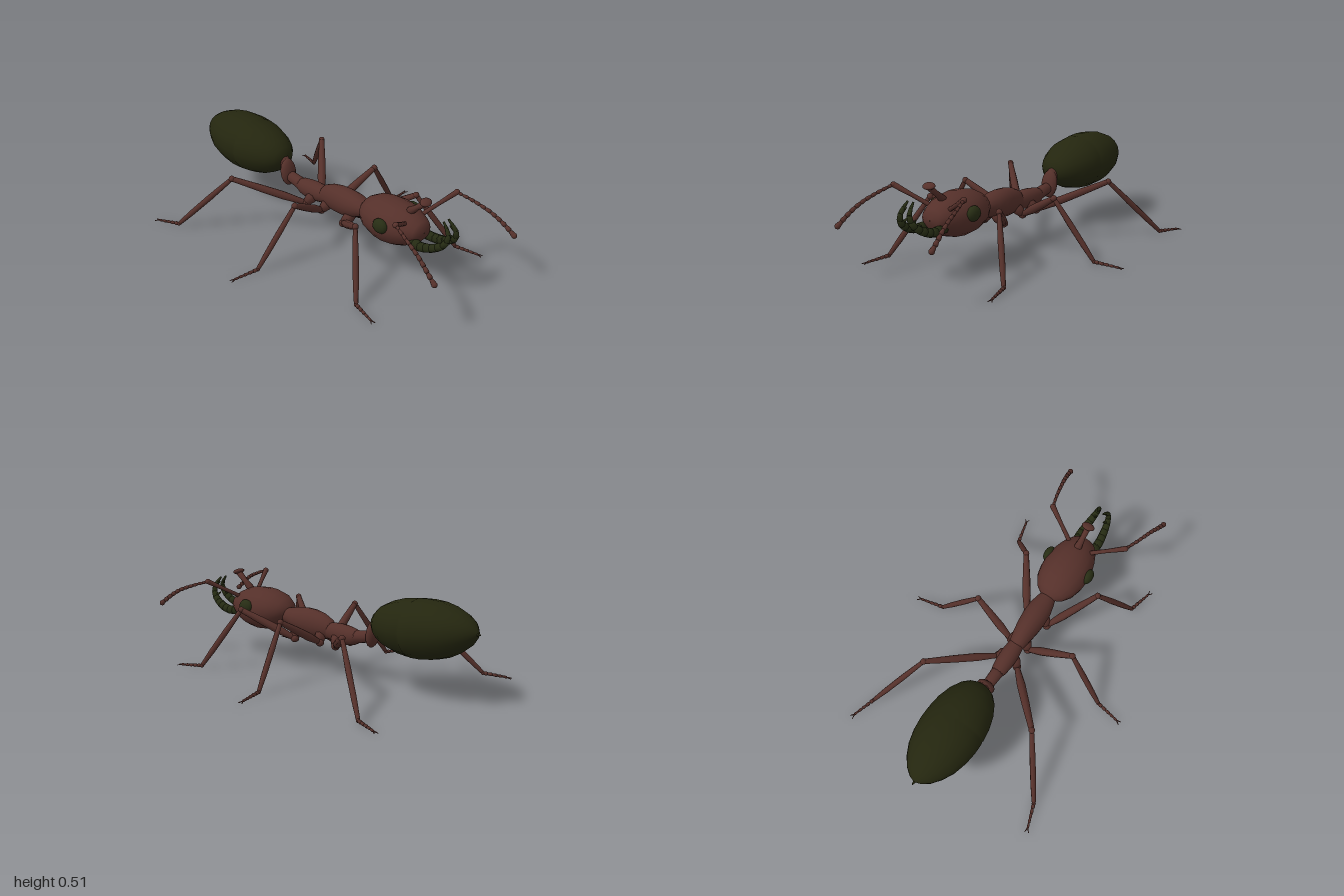
import * as THREE from 'three';

const mat = (name, color) => {
  const m = new THREE.MeshStandardMaterial({ color });
  m.name = name;
  return m;
};
const V = (x, y, z) => new THREE.Vector3(x, y, z);

export function createModel() {
  const root = new THREE.Group();
  root.name = 'ant';
  const brown = mat('reddish brown', 0x55302a);
  const olive = mat('dark olive', 0x24260f);
  const jaw = mat('olive green', 0x272d14);

  const add = (parent, name, geo, material) => {
    const m = new THREE.Mesh(geo, material);
    m.name = name;
    parent.add(m);
    return m;
  };

  // Body part lofted through elliptical sections [z, centreY, rx, ry], z rising
  const loft = (name, material, sections, sides = 16) => {
    const pos = [], idx = [];
    sections.forEach(([z, y, rx, ry], i) => {
      for (let j = 0; j < sides; j++) {
        const a = (j / sides) * Math.PI * 2;
        pos.push(rx * Math.cos(a), y + ry * Math.sin(a), z);
        if (i === sections.length - 1) continue;
        const k = (j + 1) % sides, p = i * sides, q = p + sides;
        idx.push(p + j, p + k, q + j, p + k, q + k, q + j);
      }
    });
    const g = new THREE.BufferGeometry();
    g.setAttribute('position', new THREE.Float32BufferAttribute(pos, 3));
    g.setIndex(idx);
    g.computeVertexNormals();
    return add(root, name, g, material);
  };

  // Ellipsoid at a point
  const ball = (parent, name, material, c, rx, ry, rz) => {
    const m = add(parent, name, new THREE.SphereGeometry(1, 14, 10).scale(rx, ry, rz), material);
    m.position.copy(c);
    return m;
  };

  // Round limb from a to b; profile is [radius, fraction along]
  const limb = (parent, name, material, a, b, profile, sides = 8) => {
    const len = a.distanceTo(b);
    const pts = [[0, 0], ...profile, [0, 1]].map(([r, t]) => new THREE.Vector2(r, t * len));
    const m = add(parent, name, new THREE.LatheGeometry(pts, sides), material);
    m.position.copy(a);
    m.quaternion.setFromUnitVectors(V(0, 1, 0), b.clone().sub(a).normalize());
    return m;
  };

  // Chain of tapering beads along a curve
  const beads = (parent, name, material, curve, n, r0, r1) => {
    for (let i = 0; i < n; i++) {
      const r = r0 + ((r1 - r0) * i) / (n - 1);
      limb(parent, name, material, curve.getPointAt(i / n), curve.getPointAt((i + 1) / n),
        [[r * 0.7, 0.02], [r, 0.65], [r * 0.85, 0.95]]);
    }
  };

  // Abdomen, its plates overlapping in shallow steps
  loft('abdomen', olive, [
    [-0.972, 0.377, 0.002, 0.002], [-0.96, 0.376, 0.035, 0.032], [-0.93, 0.374, 0.075, 0.067],
    [-0.88, 0.370, 0.113, 0.101], [-0.82, 0.365, 0.143, 0.128], [-0.75, 0.361, 0.162, 0.146],
    [-0.68, 0.357, 0.170, 0.153], [-0.62, 0.354, 0.169, 0.152], [-0.612, 0.354, 0.164, 0.148],
    [-0.605, 0.354, 0.168, 0.150], [-0.54, 0.352, 0.160, 0.142], [-0.47, 0.350, 0.139, 0.122],
    [-0.41, 0.349, 0.107, 0.093], [-0.375, 0.348, 0.072, 0.062], [-0.36, 0.348, 0.04, 0.036],
    [-0.355, 0.348, 0.002, 0.002],
  ]);
  limb(root, 'stinger', olive, V(0, 0.375, -0.95), V(0, 0.378, -0.99), [[0.01, 0.05], [0.004, 0.9]]);

  // Waist: upright node and the stalks on either side
  ball(root, 'waistNode', brown, V(0, 0.278, -0.335), 0.05, 0.078, 0.03).rotation.x = -0.15;
  limb(root, 'waistStalk', brown, V(0, 0.235, -0.19), V(0, 0.262, -0.34),
    [[0.038, 0.02], [0.034, 0.4], [0.03, 0.98]], 12);
  limb(root, 'rearStalk', brown, V(0, 0.31, -0.335), V(0, 0.34, -0.39), [[0.03, 0.02], [0.04, 0.98]], 12);

  // Rear and front thorax
  loft('rearThorax', brown, [
    [-0.25, 0.24, 0.002, 0.002], [-0.245, 0.24, 0.03, 0.03], [-0.21, 0.238, 0.042, 0.045],
    [-0.16, 0.239, 0.049, 0.053], [-0.11, 0.241, 0.05, 0.055], [-0.07, 0.243, 0.046, 0.05],
    [-0.03, 0.245, 0.04, 0.045],
  ]);
  loft('frontThorax', brown, [
    [-0.07, 0.25, 0.002, 0.002], [-0.065, 0.25, 0.025, 0.03], [-0.04, 0.253, 0.044, 0.055],
    [0.01, 0.26, 0.054, 0.071], [0.07, 0.265, 0.063, 0.079], [0.13, 0.268, 0.068, 0.078],
    [0.19, 0.272, 0.066, 0.068], [0.24, 0.278, 0.054, 0.05], [0.30, 0.285, 0.036, 0.036],
  ]);

  // Head with blunt snout
  loft('head', brown, [
    [0.255, 0.305, 0.002, 0.002], [0.263, 0.305, 0.045, 0.035], [0.29, 0.303, 0.083, 0.067],
    [0.34, 0.301, 0.115, 0.097], [0.40, 0.298, 0.13, 0.114], [0.46, 0.297, 0.134, 0.118],
    [0.52, 0.298, 0.125, 0.112], [0.57, 0.3, 0.109, 0.097], [0.61, 0.302, 0.09, 0.076],
    [0.64, 0.303, 0.07, 0.055], [0.655, 0.303, 0.05, 0.038], [0.66, 0.303, 0.002, 0.002],
  ]);

  // Knobbed stalk on the brow
  limb(root, 'browStalk', brown, V(0, 0.39, 0.56), V(0, 0.475, 0.66), [[0.022, 0.02], [0.015, 0.5], [0.018, 0.98]]);
  ball(root, 'browKnob', brown, V(0, 0.48, 0.66), 0.037, 0.014, 0.027).rotation.x = 0.4;

  // Legs as [hip, knee, ankle, toe], for the left side
  const legs = {
    frontLeg: [[0.065, 0.18, 0.16], [0.23, 0.33, 0.405], [0.385, 0.016, 0.565], [0.418, 0.006, 0.695]],
    middleLeg: [[0.055, 0.185, -0.015], [0.30, 0.33, 0.04], [0.52, 0.016, -0.015], [0.655, 0.006, -0.04]],
    rearLeg: [[0.06, 0.185, -0.13], [0.34, 0.33, -0.415], [0.525, 0.016, -0.675], [0.568, 0.006, -0.80]],
  };

  for (const s of [1, -1]) {
    const side = s > 0 ? 'left' : 'right';
    const P = (x, y, z) => V(s * x, y, z);
    const group = (name) => {
      const g = new THREE.Group();
      g.name = `${side} ${name}`;
      root.add(g);
      return g;
    };

    for (const [name, pts] of Object.entries(legs)) {
      const g = group(name);
      const [hip, knee, ankle, toe] = pts.map((p) => P(...p));
      limb(g, 'coxa', brown, P(0.015, 0.24, pts[0][2] + 0.03), hip, [[0.025, 0.05], [0.032, 0.5], [0.022, 0.97]]);
      ball(g, 'hipJoint', brown, hip, 0.023, 0.022, 0.023);
      limb(g, 'femur', brown, hip, knee, [[0.015, 0.02], [0.023, 0.3], [0.021, 0.6], [0.015, 0.98]]);
      ball(g, 'kneeJoint', brown, knee, 0.017, 0.017, 0.017);
      limb(g, 'tibia', brown, knee, ankle, [[0.012, 0.02], [0.016, 0.4], [0.015, 0.75], [0.011, 0.98]]);
      ball(g, 'ankleJoint', brown, ankle, 0.011, 0.011, 0.011);
      beads(g, 'tarsus', brown, new THREE.LineCurve3(ankle, toe), 5, 0.011, 0.007);
      // Pair of claws
      const dir = toe.clone().sub(ankle).normalize();
      const across = V(-dir.z, 0, dir.x);
      for (const c of [1, -1]) {
        const tip = toe.clone().addScaledVector(dir, 0.025).addScaledVector(across, c * 0.012);
        tip.y = 0.001;
        limb(g, 'claw', brown, toe, tip, [[0.004, 0.02], [0.002, 0.9]], 5);
      }
    }

    // Elbowed antenna
    const antenna = group('antenna');
    const elbow = P(0.23, 0.452, 0.67);
    limb(antenna, 'antennaScape', brown, P(0.065, 0.355, 0.585), elbow, [[0.012, 0.02], [0.011, 0.5], [0.015, 0.97]]);
    ball(antenna, 'antennaElbow', brown, elbow, 0.016, 0.015, 0.016);
    const whip = new THREE.CatmullRomCurve3([elbow, P(0.258, 0.423, 0.76), P(0.282, 0.383, 0.86),
      P(0.3, 0.33, 0.94), P(0.306, 0.295, 0.985)]);
    beads(antenna, 'antennaSegment', brown, whip, 11, 0.009, 0.014);
    ball(antenna, 'antennaTip', brown, P(0.306, 0.297, 0.983), 0.015, 0.015, 0.015);

    // Eye
    ball(root, `${side} eye`, jaw, P(0.125, 0.32, 0.475), 0.028, 0.04, 0.045);

    // Upturned mandible with two inner teeth
    const mandible = group('mandible');
    const curve = new THREE.CatmullRomCurve3([P(0.05, 0.265, 0.61), P(0.058, 0.262, 0.69), P(0.05, 0.288, 0.77),
      P(0.038, 0.33, 0.825), P(0.028, 0.38, 0.832), P(0.018, 0.432, 0.79)]);
    const n = 10;
    for (let i = 0; i < n; i++) {
      const r = (t) => 0.026 - 0.021 * t * t;
      limb(mandible, 'mandibleBlade', jaw, curve.getPointAt(i / n), curve.getPointAt((i + 1) / n),
        [[r(i / n), 0], [r((i + 1) / n), 1]]);
    }
    for (const t of [0.62, 0.8]) {
      const a = curve.getPointAt(t);
      limb(mandible, 'tooth', jaw, a, V(a.x - s * 0.016, a.y + 0.028, a.z - 0.03), [[0.012, 0.02], [0.004, 0.85]], 6);
    }
  }
  return root;
}
